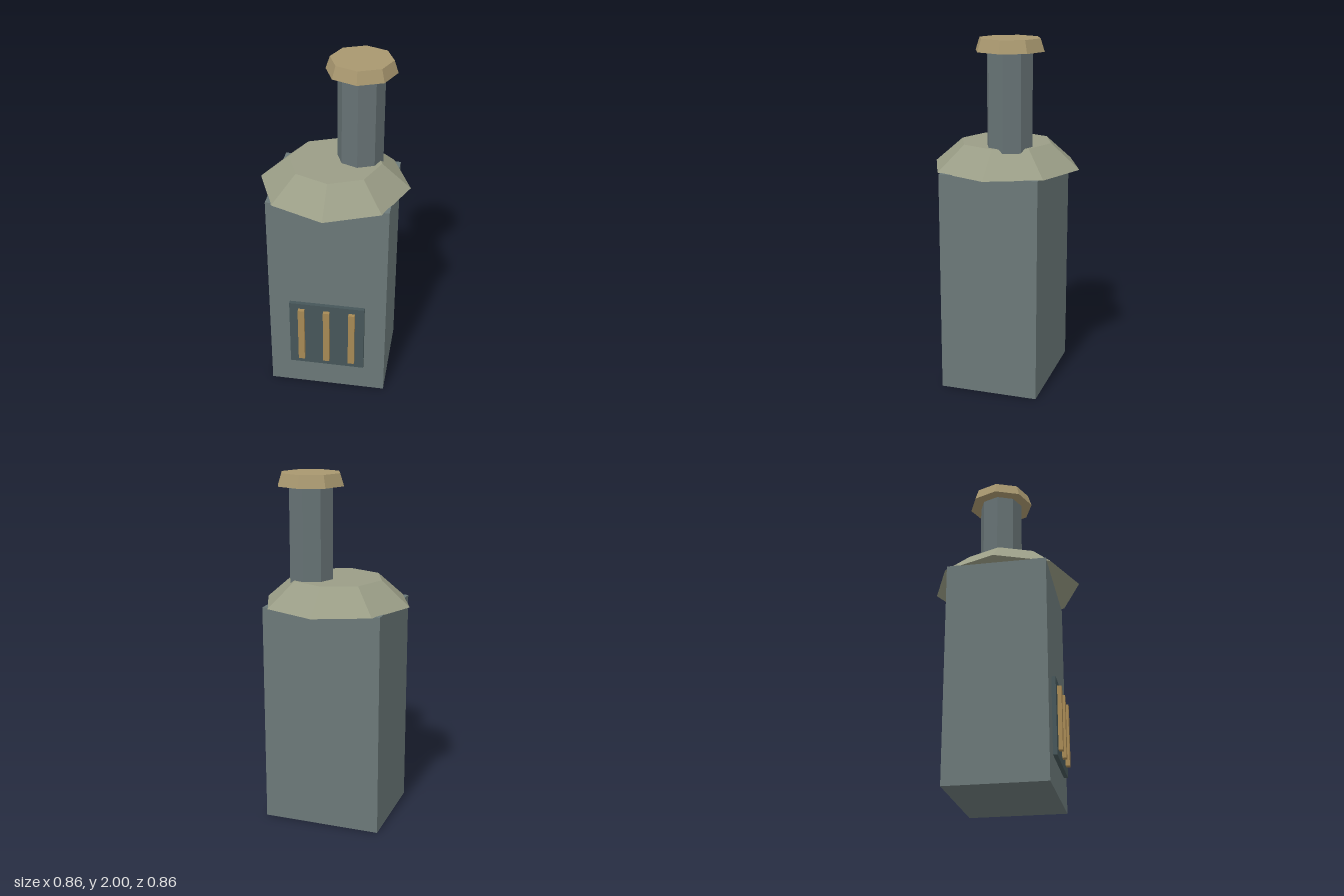
import * as THREE from 'three';

const paint = (name, color) => {
  const m = new THREE.MeshStandardMaterial({ color, flatShading: true });
  m.name = name;
  return m;
};

export function createModel() {
  const group = new THREE.Group();
  group.name = 'stove';

  const slate = paint('slate', 0x6b7878);
  const pipeGrey = paint('pipe grey', 0x667274);
  const sage = paint('sage', 0x9a9d86);
  const tan = paint('tan', 0xa8976f);
  const darkSlate = paint('dark slate', 0x465659);
  const brass = paint('brass', 0xa78954);

  const add = (name, geometry, material, x, y, z) => {
    const mesh = new THREE.Mesh(geometry, material);
    mesh.name = name;
    mesh.position.set(x, y, z);
    group.add(mesh);
  };
  // box and eight-sided tapered drum, placed by their bottom and top heights
  const box = (name, mat, w, y0, y1, z0, z1, x = 0) =>
    add(name, new THREE.BoxGeometry(w, y1 - y0, z1 - z0), mat, x, (y0 + y1) / 2, (z0 + z1) / 2);
  const drum = (name, mat, rTop, rBottom, y0, y1, x = 0, z = 0) =>
    add(name, new THREE.CylinderGeometry(rTop, rBottom, y1 - y0, 8), mat, x, (y0 + y1) / 2, z);

  // body and hood
  box('body', slate, 0.684, 0, 1.27, -0.282, 0.282);
  drum('hood', sage, 0.264, 0.428, 1.268, 1.41);

  // off-centre chimney
  drum('chimneyPipe', pipeGrey, 0.13, 0.13, 1.3, 1.94, 0.133, -0.062);
  drum('chimneyCap', tan, 0.172, 0.195, 1.93, 2, 0.133, -0.062);

  // front grate with three bars
  box('gratePanel', darkSlate, 0.44, 0.172, 0.608, 0.27, 0.305);
  [-0.148, 0, 0.148].forEach((x) => box('grateBar', brass, 0.037, 0.215, 0.574, 0.295, 0.328, x));

  return group;
}
